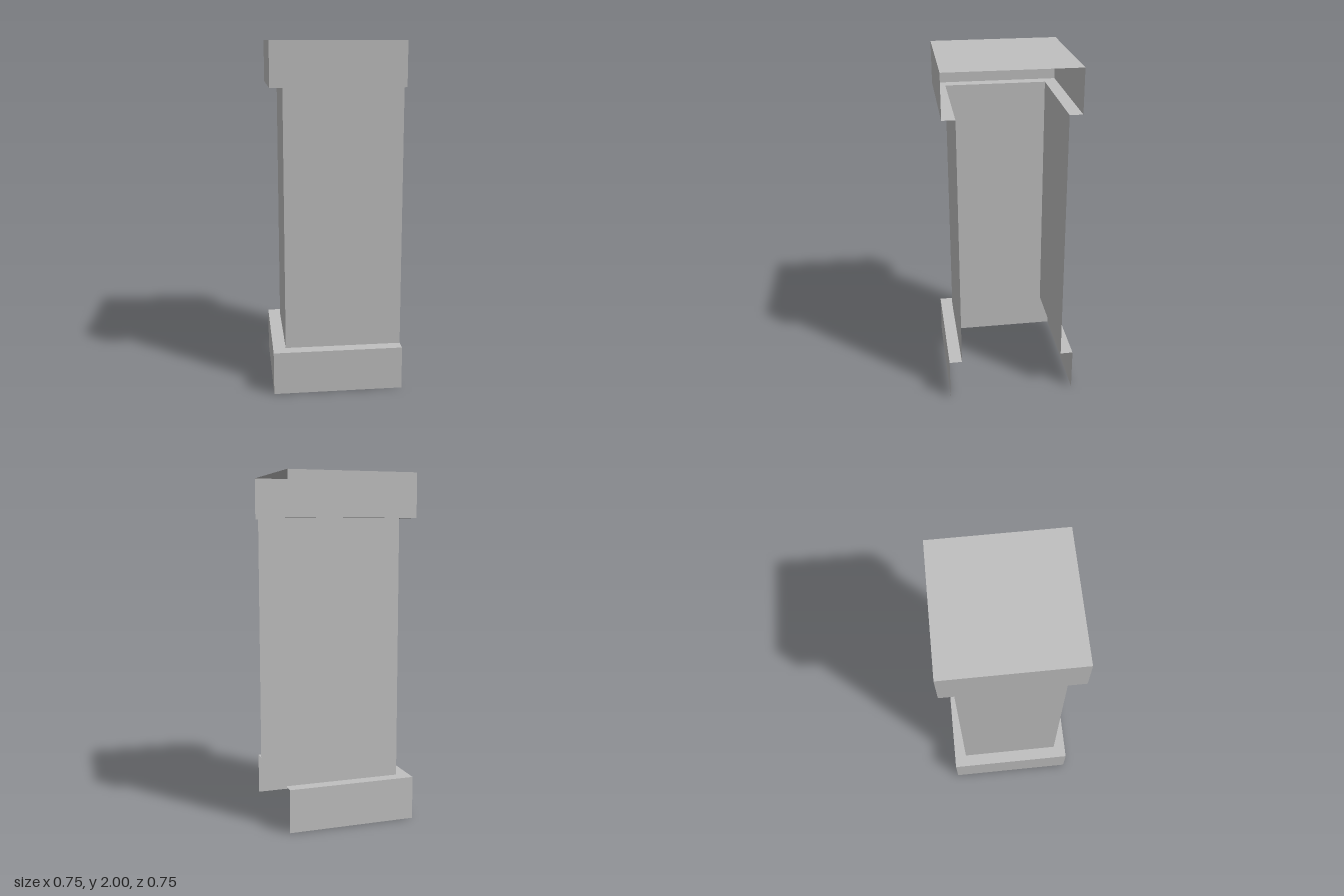
import * as THREE from 'three';

const OUTER = 0.3735; // half width of base and cap
const INNER = 0.3;    // half width of the shaft

// Three-sided shell, open towards +x, lofted through [half width, height] levels
function openShell(levels) {
  const path = ([r, y]) => [[OUTER, r], [-r, r], [-r, -r], [OUTER, -r]].map(([x, z]) => [x, y, z]);
  const positions = [];
  for (let i = 0; i < levels.length - 1; i++) {
    const low = path(levels[i]);
    const high = path(levels[i + 1]);
    for (let j = 0; j < 3; j++) {
      positions.push(...low[j + 1], ...low[j], ...high[j]);
      positions.push(...low[j + 1], ...high[j], ...high[j + 1]);
    }
  }
  const geometry = new THREE.BufferGeometry();
  geometry.setAttribute('position', new THREE.Float32BufferAttribute(positions, 3));
  geometry.computeVertexNormals();
  return geometry;
}

export function createModel() {
  const model = new THREE.Group();
  model.name = 'pillar';
  const stone = new THREE.MeshStandardMaterial({ color: 0xbfbfbf, side: THREE.DoubleSide });
  stone.name = 'grey stone';

  const add = (name, geometry) => {
    const mesh = new THREE.Mesh(geometry, stone);
    mesh.name = name;
    model.add(mesh);
    return mesh;
  };

  // Base with its ledge, shaft, and cap with its underside ledge
  add('base', openShell([[OUTER, 0], [OUTER, 0.25], [INNER, 0.25]]));
  add('shaft', openShell([[INNER, 0.25], [INNER, 1.75]]));
  add('cap', openShell([[INNER, 1.75], [OUTER, 1.75], [OUTER, 2]]));

  // Flat top sheet; the bottom stays open
  const top = add('capTop', new THREE.PlaneGeometry(2 * OUTER, 2 * OUTER).rotateX(-Math.PI / 2));
  top.position.y = 2;

  return model;
}
